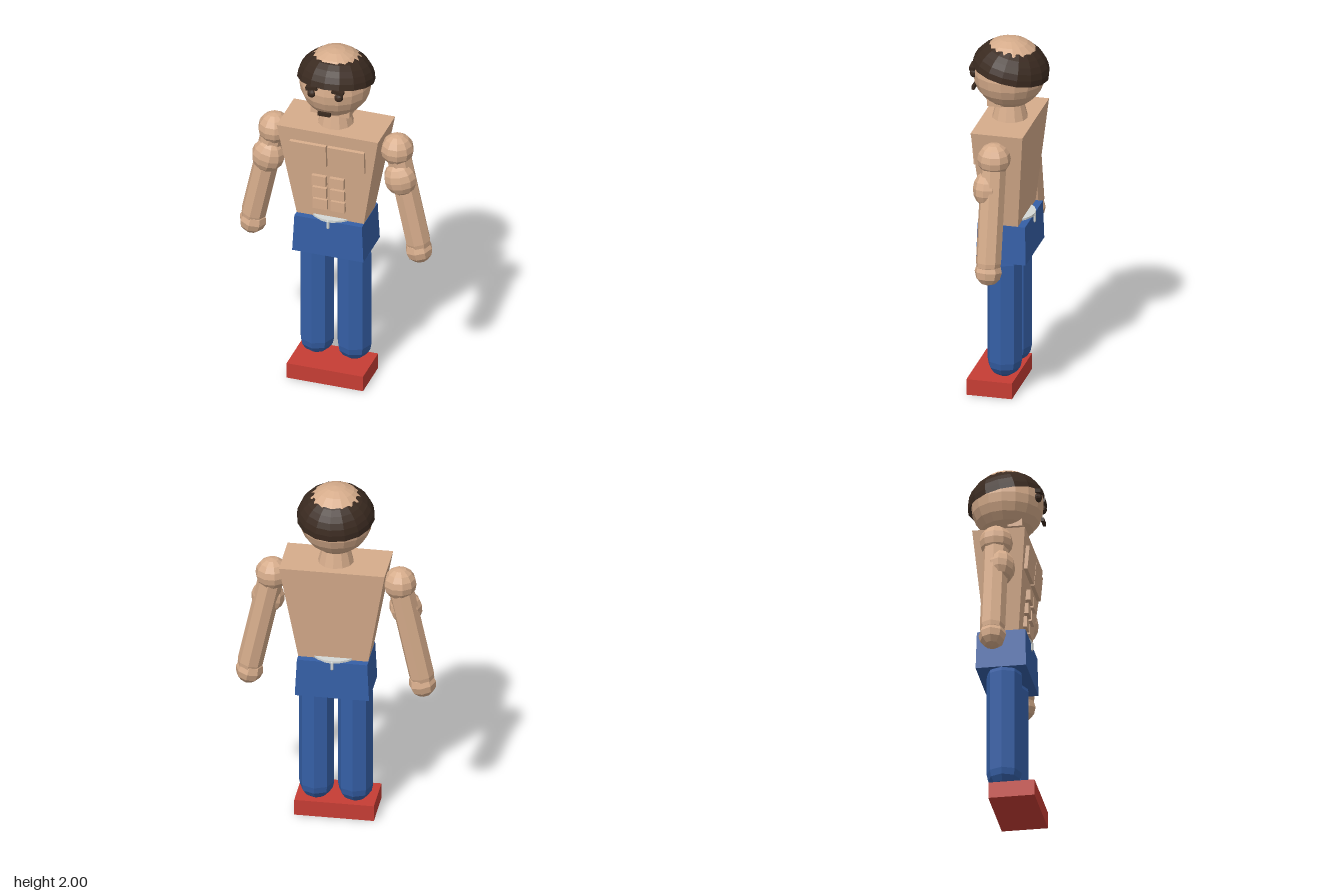
import * as THREE from 'three';

const mat = (name, color) => {
  const m = new THREE.MeshStandardMaterial({ color, flatShading: true });
  m.name = name;
  return m;
};

export function createModel() {
  const root = new THREE.Group();
  root.name = 'figure';
  const skin = mat('skin', 0xd6ac8b);
  const hair = mat('dark hair', 0x3a2a20);
  const blue = mat('blue trousers', 0x355fa6);
  const red = mat('red shoes', 0xc63d34);
  const white = mat('white cord', 0xd4d8d6);
  hair.side = THREE.DoubleSide;

  const add = (name, geo, material, x, y, z, parent = root) => {
    const mesh = new THREE.Mesh(geo, material);
    mesh.name = name;
    mesh.position.set(x, y, z);
    parent.add(mesh);
    return mesh;
  };
  const box = (w, h, d) => new THREE.BoxGeometry(w, h, d);
  const ball = (r, ws = 10, hs = 8) => new THREE.SphereGeometry(r, ws, hs);

  // Box whose lower half-sizes are scaled against the upper ones
  const taperedBox = (w, h, d, sx, sz) => {
    const g = box(w, h, d);
    const p = g.attributes.position;
    for (let i = 0; i < p.count; i++) {
      if (p.getY(i) < 0) p.setXYZ(i, p.getX(i) * sx, p.getY(i), p.getZ(i) * sz);
    }
    g.computeVertexNormals();
    return g;
  };

  // Head, hair and face
  add('head', ball(0.195, 16, 12), skin, 0, 1.805, 0.003);
  add('jaw', box(0.22, 0.1, 0.08), skin, 0, 1.687, 0.06);
  const cap = add('hair', new THREE.SphereGeometry(0.21, 16, 8, 0, Math.PI * 2, 0, Math.PI / 2), hair, 0, 1.815, -0.003);
  cap.scale.y = 0.82;
  cap.rotation.x = -0.2;
  add('mouth', box(0.07, 0.02, 0.016), hair, 0, 1.7, 0.197);
  add('neck', new THREE.CylinderGeometry(0.075, 0.103, 0.11, 12), skin, 0, 1.575, 0);

  // Torso narrowing to the waist
  add('torso', taperedBox(0.57, 0.575, 0.285, 0.65, 0.64), skin, 0, 1.2575, 0.002);

  // Hips with waist cord
  add('hips', taperedBox(0.38, 0.215, 0.262, 1.055, 1.04), blue, 0, 0.8825, 0);
  add('waistCord', new THREE.CylinderGeometry(0.138, 0.138, 0.014, 20), white, 0, 0.994, 0);
  for (const s of [-1, 1]) {
    add('cordEnd', new THREE.CapsuleGeometry(0.009, 0.038, 3, 8), white, 0, 0.972, s * 0.133);
  }

  // Shoes, forming one slab
  add('shoes', box(0.43, 0.09, 0.25), red, 0, 0.045, 0.06);

  for (const s of [-1, 1]) {
    // Eyes and brows
    add('eye', ball(0.025, 8, 8), hair, s * 0.076, 1.808, 0.178);
    const brow = add('eyebrow', box(0.065, 0.02, 0.03), hair, s * 0.073, 1.845, 0.184);
    brow.rotation.z = -s * 0.15;

    // Chest and stomach muscle plates
    const chest = add('chestPlate', box(0.205, 0.135, 0.04), skin, s * 0.1075, 1.4025, 0.132);
    chest.rotation.x = 0.09;
    for (let row = 0; row < 3; row++) {
      add('stomachMuscle', box(0.08, 0.06, 0.04), skin, s * 0.05, 1.238 - row * 0.078, 0.122 - row * 0.01);
    }

    // Leg
    add('leg', new THREE.CapsuleGeometry(0.095, 0.57, 4, 8), blue, s * 0.105, 0.47, 0.003);

    // Arm hanging slightly outward
    const arm = new THREE.Group();
    arm.name = s > 0 ? 'leftArm' : 'rightArm';
    root.add(arm);
    add('shoulder', ball(0.09), skin, s * 0.345, 1.437, 0, arm);
    const bicep = add('bicep', ball(0.09), skin, s * 0.372, 1.275, 0.03, arm);
    bicep.scale.set(1, 1.08, 0.85);
    bicep.rotation.z = s * 0.21;
    const limb = add('armLimb', new THREE.CapsuleGeometry(0.069, 0.52, 4, 8), skin, s * 0.408, 1.14, 0, arm);
    limb.rotation.z = s * 0.212;
    const hand = add('hand', ball(0.075, 8, 6), skin, s * 0.467, 0.835, 0, arm);
    hand.rotation.z = s * 0.212;
  }
  return root;
}
